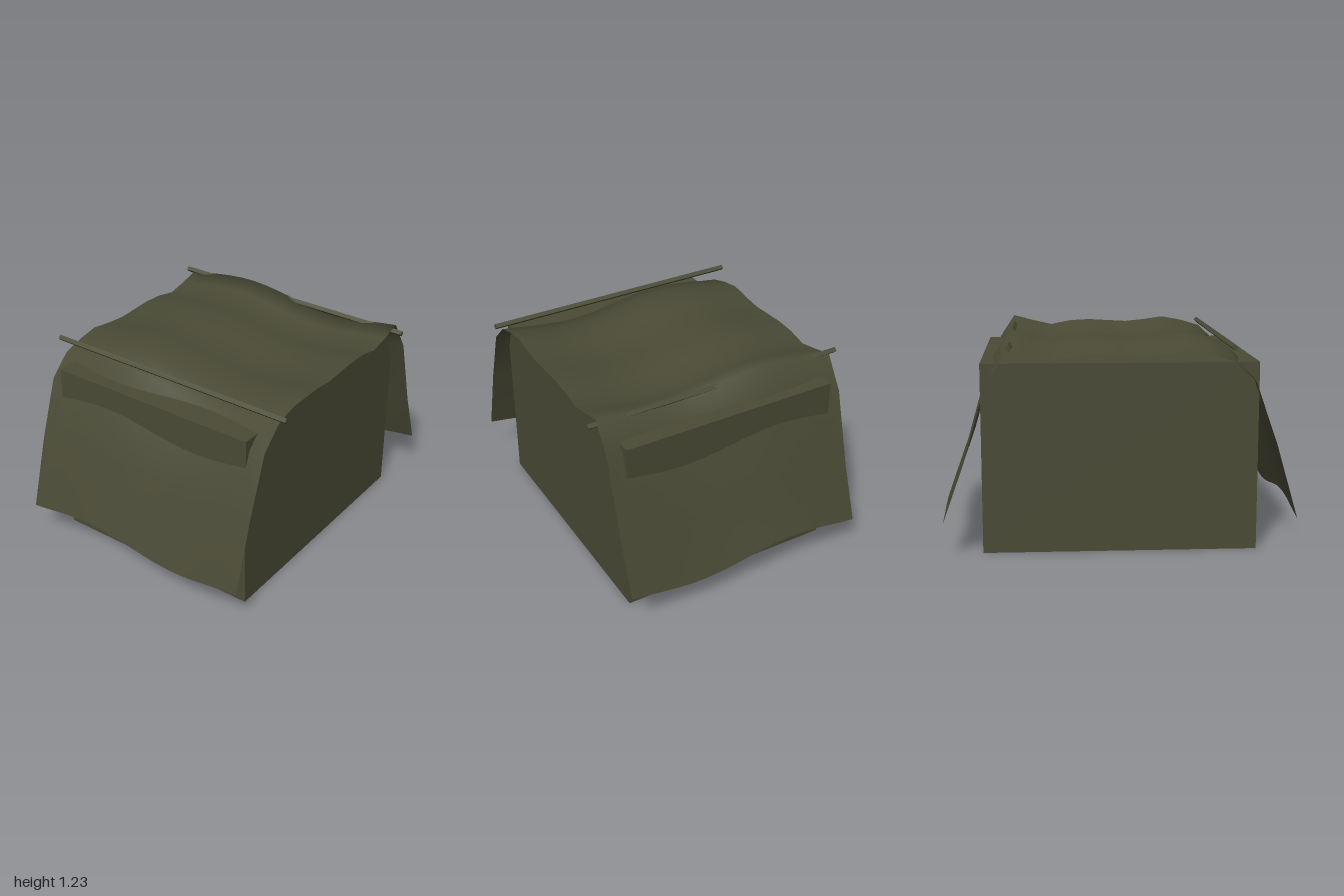
import * as THREE from 'three';

export function createModel() {
  const model = new THREE.Group();
  const canvas = new THREE.MeshStandardMaterial({ color: 0x4a4a36 });
  canvas.name = 'olive canvas';
  const cloth = canvas.clone();
  cloth.name = 'olive cloth';
  cloth.side = THREE.DoubleSide;

  const add = (name, geometry, material, x, y, z) => {
    const mesh = new THREE.Mesh(geometry, material);
    mesh.name = name;
    mesh.position.set(x, y, z);
    model.add(mesh);
    return mesh;
  };

  // Solid load under the cover
  add('crate', new THREE.BoxGeometry(1.568, 1.087, 1.33), canvas, 0, 0.5435, -0.002);

  // Draped cover: sagging height across x, rippled along z
  const heights = [0.225, 0.655, 1.01, 1.128, 1.165, 1.188, 1.17, 1.158, 1.165,
    1.172, 1.165, 1.14, 1.168, 1.202, 1.01, 0.575, 0.225];
  const sheet = new THREE.PlaneGeometry(2, 1.522, 16, 16).rotateX(-Math.PI / 2);
  const p = sheet.attributes.position;
  for (let i = 0; i < p.count; i++) {
    const column = Math.round((p.getX(i) + 1) * 8);
    p.setY(i, heights[column] - 0.033 * Math.sin(5.2 * p.getZ(i)));
  }
  sheet.computeVertexNormals();
  add('tarpaulin', sheet, cloth, 0, 0, -0.002);

  // Square tie bars lying along both shoulders, corner upward
  for (const side of [-1, 1]) {
    const bar = new THREE.CylinderGeometry(0.018, 0.018, 1.616, 4).toNonIndexed();
    bar.computeVertexNormals();
    bar.rotateX(Math.PI / 2);
    add(side > 0 ? 'leftTieBar' : 'rightTieBar', bar, canvas, side * 0.618, 1.185, -0.002);
  }
  return model;
}
